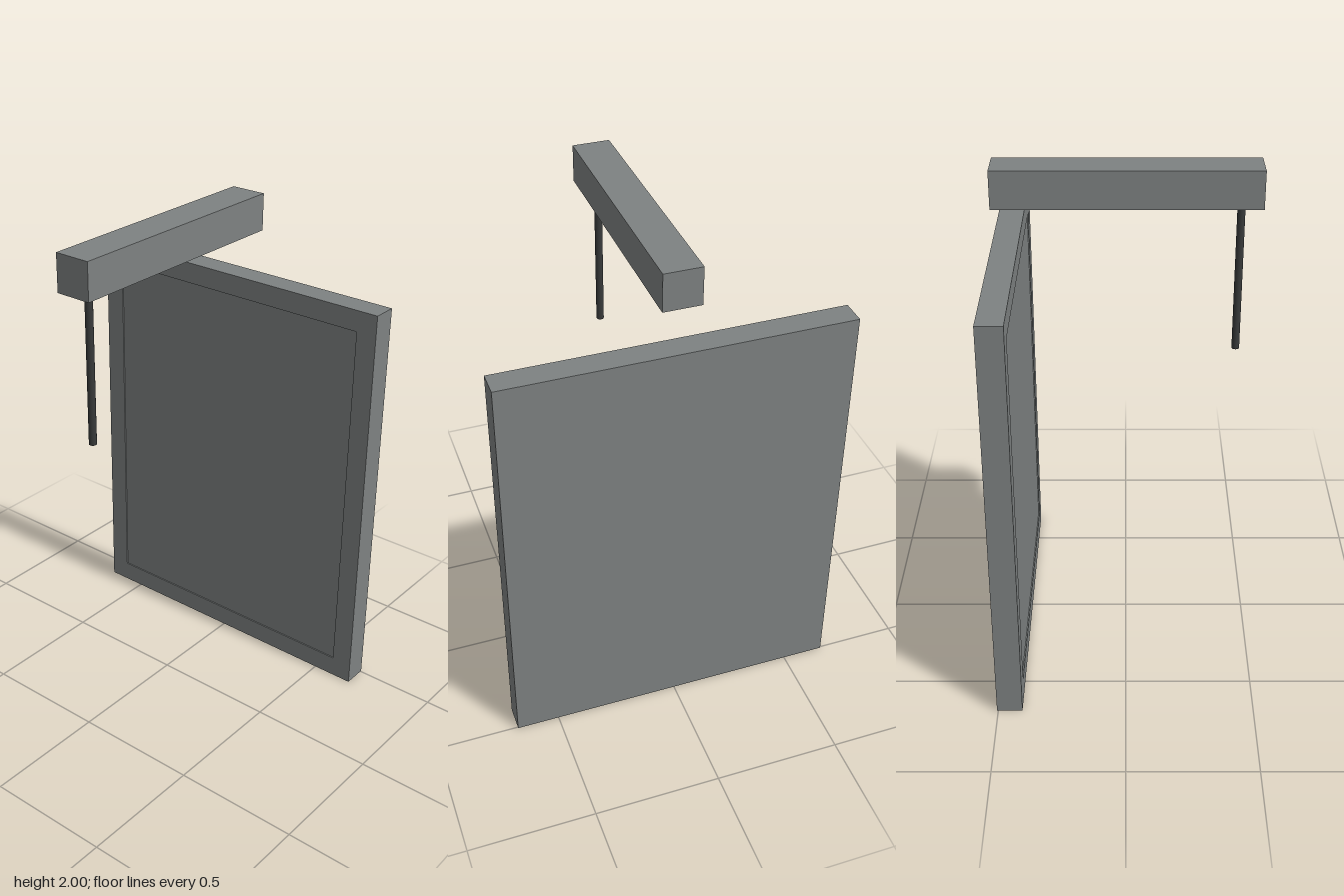
import * as THREE from 'three';

export function createModel() {
  const model = new THREE.Group();
  const grey = new THREE.MeshStandardMaterial({ color: 0x7e8282 });
  grey.name = 'concrete grey';
  const dark = new THREE.MeshStandardMaterial({ color: 0x383a3a });
  dark.name = 'dark metal';

  const add = (name, geometry, material, x, y, z) => {
    const mesh = new THREE.Mesh(geometry, material);
    mesh.name = name;
    mesh.position.set(x, y, z);
    model.add(mesh);
  };

  const W = 1.34, H = 1.675, border = 0.085, depth = 0.1, recess = 0.005;
  const back = -0.505;

  // Upright slab, with a shallow recess framed on its front
  add('slab', new THREE.BoxGeometry(W, H, depth - recess), grey, 0, H / 2, back + (depth - recess) / 2);

  const rect = (target, w, h) => target.moveTo(-w, -h).lineTo(w, -h).lineTo(w, h).lineTo(-w, h).closePath();
  const rim = rect(new THREE.Shape(), W / 2, H / 2);
  rim.holes.push(rect(new THREE.Path(), W / 2 - border, H / 2 - border));
  add('frontRim', new THREE.ExtrudeGeometry(rim, { depth: recess, bevelEnabled: false }),
    grey, 0, H / 2, back + depth - recess);

  // Beam reaching forward above the slab
  add('overheadBeam', new THREE.BoxGeometry(0.146, 0.148, 1), grey, 0, 1.926, 0.005);

  // Thin rod hanging from the front of the beam
  add('hangingRod', new THREE.CylinderGeometry(0.015, 0.015, 0.597, 16), dark, 0, 1.5535, 0.427);

  return model;
}
